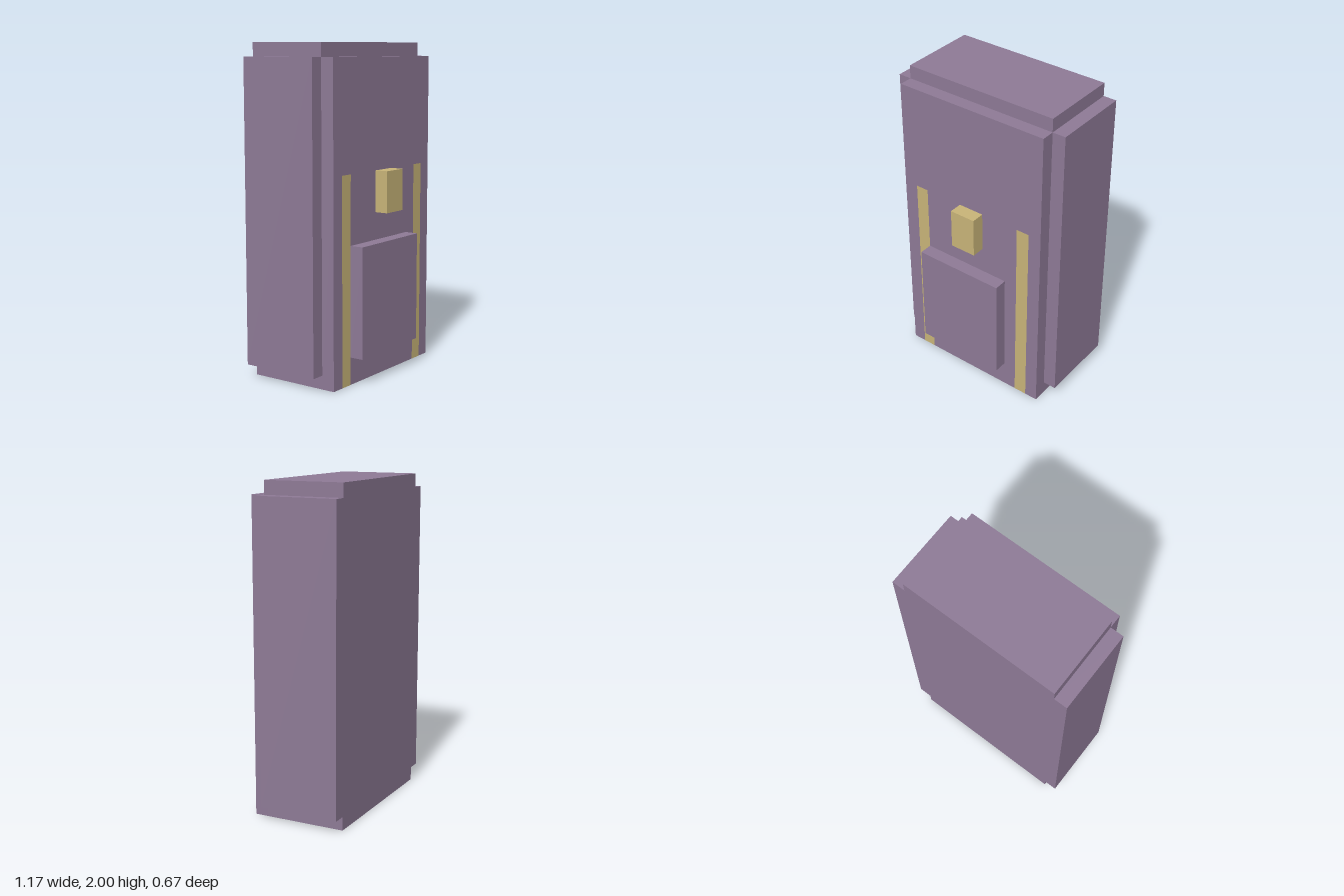
import * as THREE from 'three';

const UNIT = 1 / 12; // every part sits on a grid of twelfths

export function createModel() {
  const group = new THREE.Group();
  const purple = new THREE.MeshStandardMaterial({ color: 0x8e7a96 });
  purple.name = 'mauve';
  const gold = new THREE.MeshStandardMaterial({ color: 0xc8b478 });
  gold.name = 'gold';

  // Box between two corners, given in grid units
  function box(name, material, [x0, y0, z0], [x1, y1, z1]) {
    const geometry = new THREE.BoxGeometry(x1 - x0, y1 - y0, z1 - z0);
    geometry.translate((x0 + x1) / 2, (y0 + y1) / 2, (z0 + z1) / 2);
    geometry.scale(UNIT, UNIT, UNIT);
    const mesh = new THREE.Mesh(geometry, material);
    mesh.name = name;
    group.add(mesh);
  }

  // Main body
  box('body', purple, [-6, 0, -4], [6, 24, 2]);

  // Front panel, with gaps left for the straps
  box('frontPanelUpper', purple, [-6, 15, 2], [6, 23, 3]);
  box('frontPanelMiddle', purple, [-4, 0, 2], [4, 15, 3]);

  for (const [side, left, right] of [['right', -1, 0], ['left', 0, 1]]) {
    // Shift a positive-side span to the chosen side
    const span = (a, b) => (left < right && right === 1 ? [a, b] : [-b, -a]);
    const [e0, e1] = span(5, 6);
    box(`${side}FrontPanelEdge`, purple, [e0, 0, 2], [e1, 15, 3]);
    const [s0, s1] = span(4, 5);
    box(`${side}Strap`, gold, [s0, 0, 2], [s1, 15, 3]);
    const [p0, p1] = span(6, 7);
    box(`${side}SidePanel`, purple, [p0, 1, -4], [p1, 23, 2]);
  }

  // Front pocket and clasp
  box('frontPocket', purple, [-4, 2, 3], [3, 10, 4]);
  box('clasp', gold, [-1, 12, 3], [1, 15, 4]);

  return group;
}
